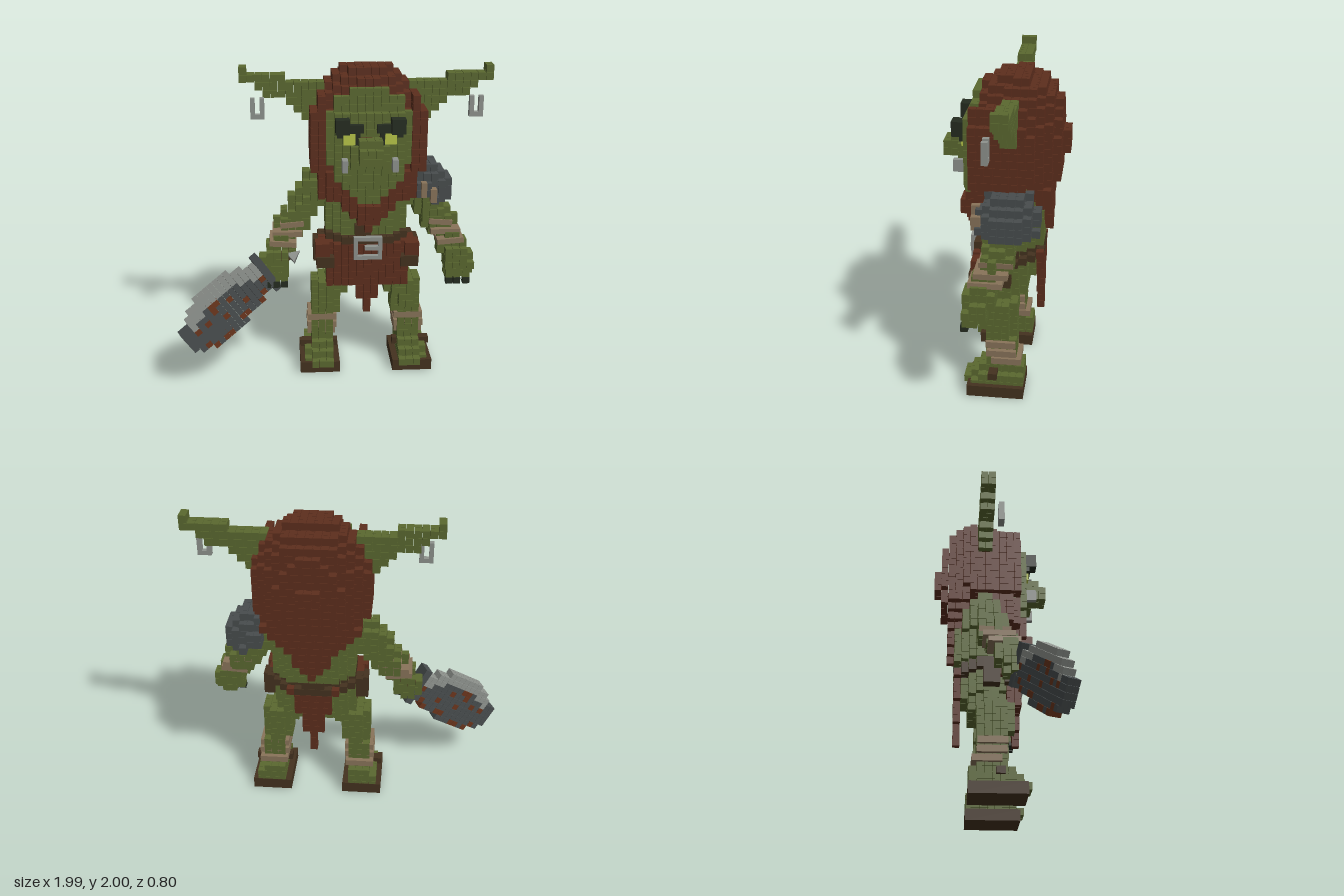
import * as THREE from 'three';
import { mergeGeometries } from 'three/addons/utils/BufferGeometryUtils.js';

const P = 2 / 42;            // cube pitch
const B = 0.04;              // smaller pitch of the blade
const CX = 0.21, CZ = 0.003; // middle of the body
const paint = (name, color) => Object.assign(new THREE.MeshStandardMaterial({ color }), { name });
const skin = paint('skin green', 0x5b6930), hair = paint('russet', 0x5d2e1d), iron = paint('dark iron', 0x484d4e),
  steel = paint('pale steel', 0x8f938e), wrap = paint('tan wrap', 0x89745a), leather = paint('dark leather', 0x44321f),
  soot = paint('soot', 0x252c20), eye = paint('eye yellow', 0xb8c648), rust = paint('rust', 0x6a351c);

const onBody = (i, r, k) => [CX + i * P, 2 - (r + 0.5) * P, CZ + k * P];
const key = (i, r, k) => `${i},${r},${k}`;

// Fills a range of cells with cubes; rule(i, r, k) gives a material or nothing. Rows r count down from the top.
// Cells already in the set "taken" belong to an earlier part and are left alone.
function voxels(name, taken, [i0, i1], [r0, r1], [k0, k1], rule, place = onBody, pitch = P) {
  const cells = [], byPaint = new Map(), size = pitch * 0.96;
  for (let i = i0; i <= i1; i++) for (let r = r0; r <= r1; r++) for (let k = k0; k <= k1; k++) {
    const m = !taken.has(key(i, r, k)) && rule(i, r, k);
    if (m) cells.push([i, r, k, m]);
  }
  for (const [i, r, k] of cells) taken.add(key(i, r, k));
  const near = [[1, 0, 0], [-1, 0, 0], [0, 1, 0], [0, -1, 0], [0, 0, 1], [0, 0, -1]];
  for (const [i, r, k, m] of cells) {
    if (near.every(([a, b, c]) => taken.has(key(i + 2 * a, r + 2 * b, k + 2 * c)) && taken.has(key(i + a, r + b, k + c)))) continue;
    if (!byPaint.has(m)) byPaint.set(m, []);
    byPaint.get(m).push(new THREE.BoxGeometry(size, size, size).translate(...place(i, r, k)));
  }
  const group = new THREE.Group();
  group.name = name;
  for (const [m, list] of byPaint) {
    const mesh = new THREE.Mesh(mergeGeometries(list), m);
    mesh.name = `${name} ${m.name}`;
    group.add(mesh);
  }
  return group;
}

// Box given by its two opposite corners
function block(name, m, [x0, y0, z0], [x1, y1, z1], tilt = 0) {
  const mesh = new THREE.Mesh(new THREE.BoxGeometry(Math.abs(x1 - x0), y1 - y0, z1 - z0), m);
  mesh.position.set((x0 + x1) / 2, (y0 + y1) / 2, (z0 + z1) / 2);
  mesh.rotation.z = tilt;
  mesh.name = name;
  return mesh;
}

const oval = (x, z, rx, rz) => (x / rx) ** 2 + (z / rz) ** 2 <= 1;

function buildHead(g, taken) {
  // Half width of the face in each row, from row 2 down
  const face = [2, 4, 4, 5, 5, 5, 5, 5, 5, 5, 4, 4, 3, 2, 1];
  g.add(voxels('head', taken, [-8, 8], [0, 16], [-8, 7], (i, r, k) => {
    const w = face[r - 2] ?? -1, a = Math.abs(i);
    if (k >= 5) {
      const nose = (k === 5 && a <= (r > 8 ? 2 : 1) && r >= 8 && r <= 11) || (k === 6 && a <= 1 && r >= 8 && r <= 10)
        || (k === 7 && a <= 1 && (r === 9 || r === 10));
      return nose ? skin : null;
    }
    if (k === 4) return r >= 5 && a <= w && a <= 4 ? skin : null;
    if (k === 3 && a <= w) return skin;
    if (k === -8) return a <= 1 && r >= 7 && r <= 9 ? hair : null;
    if (r > 12 || k < -3 - 2 * r || k > 2 * r) return null;
    // Locks falling beside the face
    if (k >= -2 && ((a === 6 && r >= 3) || (a === 7 && r >= 5))) return hair;
    const dy = (r > 8 ? 0.7 : 1) * Math.abs(r - 8), dz = k + 2.5;
    const d = (a / 7.6) ** 1.6 + (dy / 9.1) ** 2.2 + (Math.abs(dz) / (dz > 0 ? 7.4 : 5.6)) ** 2.2;
    return d <= 1 ? hair : null;
  }));
  // Hair hanging down the back and the collar below the chin
  g.add(voxels('hairDrape', taken, [-7, 7], [13, 20], [-6, -4],
    (i, r) => (Math.abs(i) <= 6.3 - (r - 13) * 0.85 ? hair : null)));
  const collar = [6, 6, 6, 6, 3, 2, 1, 0];
  g.add(voxels('collar', taken, [-6, 6], [13, 20], [-1, 5], (i, r, k) => {
    const a = Math.abs(i), w = collar[r - 13];
    if (a > w) return null;
    if (k === 5) return (r === 17 || r === 18) && a <= 1 ? hair : null;
    if (r < 17) return oval(i, k, 6.8, 4.8) ? hair : null;
    return k >= 2 ? hair : null;
  }));
  // Ears: inner and outer end in each row
  const ear = [[16, 16], [11, 16], [5, 14], [5, 13], [6, 10], [6, 9], [6, 8]];
  g.add(voxels('ears', taken, [-16, 16], [0, 6], [-2, -1],
    (i, r) => Math.abs(i) >= ear[r][0] && Math.abs(i) <= ear[r][1] ? skin : null));
  for (const s of [-1, 1]) {
    const X = (d) => CX + s * d;
    g.add(
      block('eye', eye, [X(0.09), 1.575, 0.19], [X(0.16), 1.65, 0.235]),
      block('eyeSocket', soot, [X(0.06), 1.555, 0.19], [X(0.09), 1.65, 0.23]),
      block('browInner', soot, [X(0.04), 1.65, 0.19], [X(0.17), 1.7, 0.25]),
      block('browOuter', soot, [X(0.125), 1.65, 0.21], [X(0.21), 1.74, 0.285]),
      block('browTail', soot, [X(0.165), 1.62, 0.19], [X(0.2), 1.65, 0.24]),
      block('tusk', steel, [X(0.135), 1.415, 0.21], [X(0.17), 1.49, 0.285]),
      block('earringOuter', steel, [X(0.69), 1.69, 0], [X(0.718), 1.82, 0.036]),
      block('earringInner', steel, [X(0.632), 1.69, 0], [X(0.66), 1.82, 0.036]),
      block('earringBase', steel, [X(0.66), 1.69, 0], [X(0.69), 1.718, 0.036]),
    );
  }
}

function buildBody(g, taken) {
  g.add(voxels('belt', taken, [-7, 7], [22, 24], [-5, 3], (i, r, k) => {
    if (oval(i, k + 0.5, 5, 3.2)) return null;
    if (r === 22) return oval(i, k + 0.5, 5.7, 4.6) ? leather : null;
    if (!oval(i, k + 0.5, 6.7, 4.9)) return null;
    return k >= 0 ? hair : r === 23 ? leather : null;
  }));
  g.add(voxels('backFlap', taken, [-3, 3], [23, 32], [-5, -5],
    (i, r) => (Math.abs(i) <= 3.2 - (r - 23) * 0.33 ? hair : null)));
  g.add(voxels('torso', taken, [-7, 7], [14, 28], [-6, 3], (i, r, k) => {
    if (r < 18) return oval(i, k + 1.5, 7.4, 4) ? skin : null;
    if (r < 22) return oval(i, k + 1.5, 5.6, 4.3) ? skin : null;
    if (r > 24 && k >= 2) return Math.abs(i) <= 5 ? hair : null;
    return oval(i, k + 0.5, 5.6, r > 26 ? 3.3 : 4.1) ? skin : null;
  }));
  g.add(voxels('frontFlap', taken, [-1, 1], [25, 32], [3, 3], (i, r) => (r < 31 || i === 0 ? hair : null)));
  // Belt pouches and buckle
  for (const s of [-1, 1]) g.add(
    block('pouchFlap', hair, [CX + s * 0.24, 0.81, 0.06], [CX + s * 0.33, 0.905, 0.165]),
    block('frontPouch', leather, [CX + s * 0.21, 0.75, 0.06], [CX + s * 0.325, 0.82, 0.18]),
    block('sidePouch', leather, [CX + s * 0.25, 0.74, -0.075], [CX + s * 0.34, 0.89, 0.03]),
    block('buckleSide', steel, [CX + s * 0.065, 0.81, 0.165], [CX + s * 0.09, 0.96, 0.2]));
  for (const y of [0.81, 0.935]) g.add(block('buckleBar', steel, [0.14, y, 0.165], [0.28, y + 0.025, 0.2]));
  g.add(block('bucklePin', steel, [0.19, 0.875, 0.165], [0.29, 0.9, 0.205]),
    block('beltTail', leather, [0.13, 0.96, 0.11], [0.23, 1.03, 0.16]));
}

function buildLegs(g, taken) {
  g.add(voxels('legs', taken, [-8, 8], [29, 40], [-3, 4], (i, r, k) => {
    const a = Math.abs(i);
    if (r <= 33) {
      const inner = r < 31 ? 3 : 4, corner = (a === 7 || a === inner) && Math.abs(k) === 2;
      return a >= inner && a <= 7 && k >= -2 && k <= (r === 33 ? 1 : 2) && !corner ? skin : null;
    }
    if (r <= 37) return a >= 5 && a <= 7 && k >= -2 && k <= 1 ? skin : null;
    if (r === 38) return a >= 5 && a <= 7 && k <= 2 ? skin : null;
    if (r === 39) return a >= 5 && a <= 8 && k <= (a === 8 ? 2 : 3) ? skin : null;
    return a >= 5 && a <= 8 && k <= (a === 8 ? 3 : 4) ? skin : null;
  }));
  for (const s of [-1, 1]) {
    const X = (d) => CX + s * d;
    g.add(block('sole', leather, [X(0.175), 0, -0.165], [X(0.435), 0.075, 0.19]),
      block('ankleStrap', leather, [X(0.185), 0.125, 0], [X(0.43), 0.17, 0.055]));
    [[0.33, 0.075, 0.19], [0.27, 0.07, 0.2], [0.215, 0.04, 0.195]].forEach(([y, z, w], n) => {
      g.add(block('shinWrap', wrap, [X(0.285 - w / 2 + n * 0.005), y, z - 0.185], [X(0.285 + w / 2), y + 0.042, z]));
    });
  }
}

function buildArms(g, taken) {
  // Plated shoulder guard with lacing
  g.add(voxels('shoulderGuard', taken, [7, 11], [13, 17], [-5, 2], (i, r, k) => {
    const d = ((i - 6) / 5.6) ** 2 + ((17 - r) / 4.8) ** 2.5 + (Math.abs(k + 1.5) / 3.9) ** 2.5;
    return d <= 1.06 && !(i < 9 && r > 16) ? iron : null;
  }));
  g.add(block('lace', wrap, [0.545, 1.2, 0.1], [0.58, 1.295, 0.15]), block('lace', wrap, [0.605, 1.165, 0.09], [0.645, 1.25, 0.145]));
  const joints = [[6.8, 15.6, -1.5], [10, 20.5, -0.3], [11.3, 23, 1], [12.6, 26, 2]].map((p) => new THREE.Vector3(...p));
  const bones = [0, 1, 2].map((n) => new THREE.Line3(joints[n], joints[n + 1]));
  const near = new THREE.Vector3(), cell = new THREE.Vector3();
  g.add(voxels('arms', taken, [-15, 15], [13, 27], [-4, 4], (i, r, k) => {
    cell.set(Math.abs(i), r, k);
    return bones.some((b, n) => b.closestPointToPoint(cell, true, near).distanceTo(cell) < [2.15, 1.65, 1.9][n]) ? skin : null;
  }));
  for (const s of [-1, 1]) {
    const X = (d) => CX + s * d;
    [[0.475, 1.01, -0.015, 0.15], [0.505, 0.955, 0.01, 0.19], [0.535, 0.9, 0.04, 0.17]].forEach(([x, y, z, w], n) => {
      g.add(block('armWrap', wrap, [X(x - w / 2), y - 0.017, z - 0.1], [X(x + w / 2), y + 0.017, z + 0.1], s * (n - 1) * 0.08));
    });
    for (const x of [0.53, 0.58, 0.64]) g.add(
      block('finger', skin, [X(x - 0.022), 0.65, 0.1], [X(x + 0.022), 0.72, 0.17]),
      block('claw', soot, [X(x - 0.022), 0.62, 0.135], [X(x + 0.022), 0.66, 0.18]));
  }
}

function buildCleaver(g) {
  const along = new THREE.Vector3(-0.78, -0.55, 0.32).normalize();
  const flat = new THREE.Vector3(0.38, 0, 0.925).normalize();
  const across = new THREE.Vector3().crossVectors(flat, along).normalize();
  const cleaver = new THREE.Group();
  cleaver.name = 'cleaver';
  // Local x runs to the tip, y across towards the lower edge, z through the blade
  cleaver.quaternion.setFromRotationMatrix(new THREE.Matrix4().makeBasis(along, across, flat));
  cleaver.position.set(-0.46, 0.7, 0.15);
  const upper = [2, 2, 3, 3, 4, 4, 4, 4, 4, 4, 4, 3, 3, 2, 1, 1], lower = [2, 2, 3, 3, 3, 3, 4, 4, 4, 4, 4, 4, 4, 3, 3, 2];
  cleaver.add(voxels('blade', new Set(), [0, 15], [-4, 4], [0, 1], (i, v) => {
    if (v < -upper[i] || v > lower[i]) return null;
    if (v < 2 - upper[i] && i < 14) return steel;
    return (i * 7 + v * 11 + i * v * 3 + 40) % 13 < 2 || (v === lower[i] && i % 4 === 1) ? rust : iron;
  }, (i, v, k) => [(i + 0.5) * B, v * B, (k - 0.5) * B], B));
  cleaver.add(block('guard', iron, [-0.05, -0.135, -0.05], [0, 0.135, 0.05]),
    block('grip', leather, [-0.24, -0.03, -0.03], [-0.05, 0.03, 0.03]));
  const pommel = new THREE.Mesh(new THREE.ConeGeometry(0.05, 0.08, 4), steel);
  pommel.rotation.z = Math.PI / 2;
  pommel.position.set(-0.24, 0, 0.07);
  pommel.name = 'pommel';
  cleaver.add(pommel);
  g.add(cleaver);
}

export function createModel() {
  const model = new THREE.Group(), taken = new Set();
  model.name = 'goblin';
  [buildHead, buildBody, buildLegs, buildArms, buildCleaver].forEach((build) => build(model, taken));
  return model;
}
